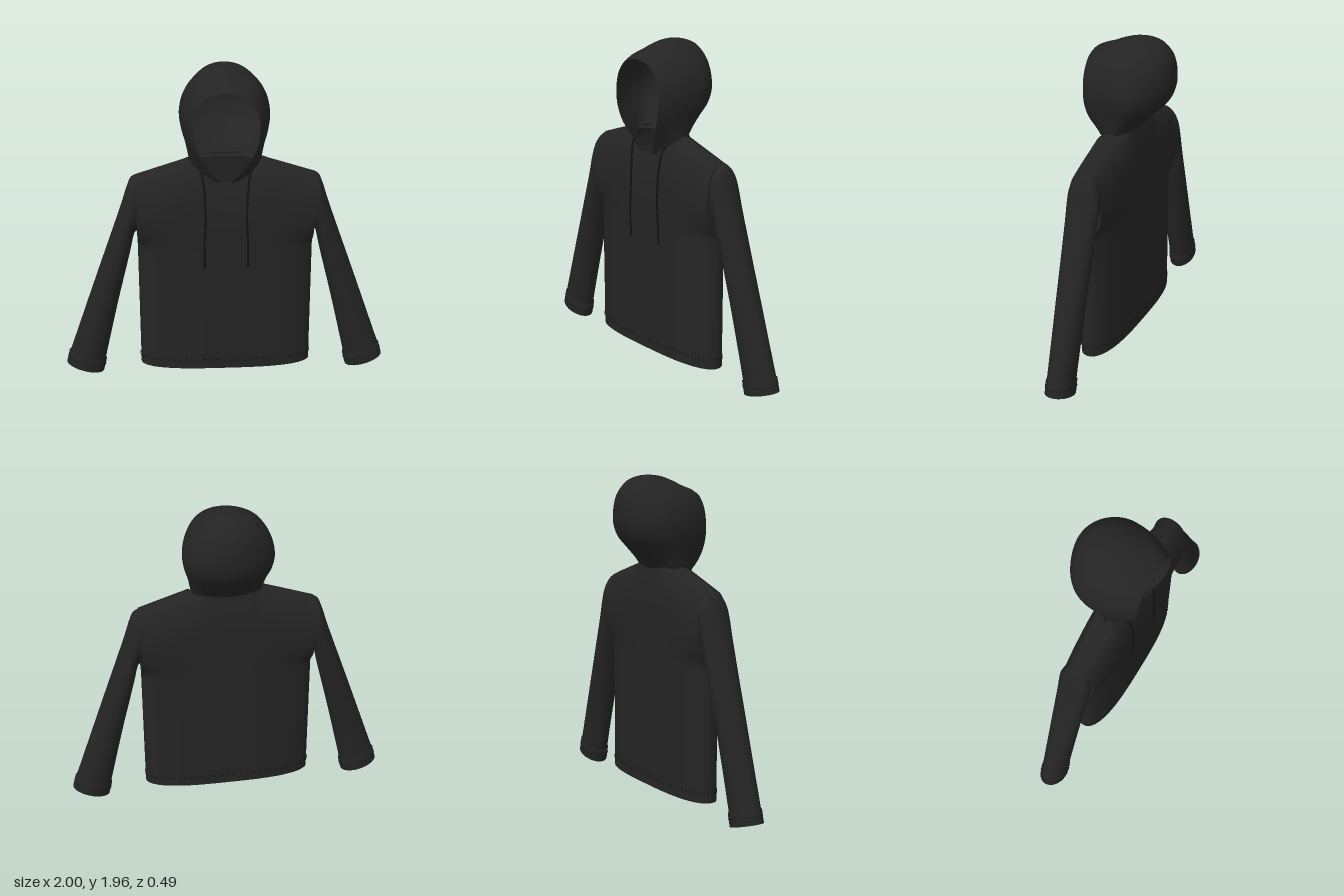
import * as THREE from 'three';
import { mergeGeometries } from 'three/addons/utils/BufferGeometryUtils.js';

const cloth = new THREE.MeshStandardMaterial({ color: 0x242424, side: THREE.DoubleSide });
const thread = new THREE.MeshStandardMaterial({ color: 0x111111 });
const { clamp, lerp, smoothstep } = THREE.MathUtils;
const TAU = Math.PI * 2;

// Smoothly resample a table of rows (Catmull-Rom on every column)
function smoothRows(rows, steps) {
  const out = [];
  const at = (i) => rows[clamp(i, 0, rows.length - 1)];
  for (let i = 0; i < rows.length - 1; i++) {
    for (let s = 0; s < steps; s++) {
      const t = s / steps;
      out.push(rows[i].map((b, k) => {
        const a = at(i - 1)[k], c = at(i + 1)[k], d = at(i + 2)[k];
        return b + 0.5 * t * (c - a + t * (2 * a - 5 * b + 4 * c - d + t * (3 * (b - c) + d - a)));
      }));
    }
  }
  out.push(rows[rows.length - 1]);
  return out;
}

// Skin a list of rings (arrays of points); closed rings wrap around
function loft(rings, closed) {
  const n = rings[0].length, index = [];
  const geo = new THREE.BufferGeometry().setFromPoints(rings.flat());
  for (let i = 0; i < rings.length - 1; i++) {
    for (let j = 0; j < (closed ? n : n - 1); j++) {
      const k = (j + 1) % n;
      const a = i * n + j, b = i * n + k, c = a + n, d = b + n;
      index.push(a, c, b, b, c, d);
    }
  }
  geo.setIndex(index);
  geo.computeVertexNormals();
  return geo;
}

function addMesh(parent, name, geo, mat = cloth) {
  const mesh = new THREE.Mesh(geo, mat);
  mesh.name = name;
  parent.add(mesh);
  return mesh;
}

// Dashes along every other segment of a ring
function stitches(points) {
  const dashes = [], dummy = new THREE.Object3D();
  for (let i = 0; i < points.length - 1; i += 2) {
    const a = points[i], b = points[i + 1];
    dummy.position.copy(a).lerp(b, 0.5);
    dummy.lookAt(b);
    dummy.updateMatrix();
    dashes.push(new THREE.BoxGeometry(0.003, 0.003, a.distanceTo(b)).applyMatrix4(dummy.matrix));
  }
  return mergeGeometries(dashes);
}

// Torso point: angle goes round the body, v runs from hem (0) to shoulder line (1)
const HEM = 0.065;
function torsoPoint(angle, v, swell = 1) {
  const c = Math.cos(angle), s = Math.sin(angle);
  const x = 0.53 * c, ax = Math.abs(x);
  let top = 1.43 - Math.max(0, ax - 0.22) * 0.32;
  if (ax < 0.22) top = s > 0 ? 1.3 + 0.13 * (ax / 0.22) ** 2 : 1.425;
  const y = lerp(HEM, top, v);
  const neck = 1 - smoothstep(ax, 0.13, 0.24);
  const u = clamp((y - top + 0.3) / 0.3, 0, 1);
  const round = lerp(Math.sqrt(Math.max(0, 1 - u ** 2.5)), 1 - 0.25 * u * u, neck);
  // sides close below the armpit and stay open where the sleeve joins
  const width = lerp(0.53, 0.8, smoothstep(y, 0.88, 1.08));
  const side = Math.max(0, 1 - (ax / width) ** 3) ** 0.45;
  const sign = Math.abs(s) < 1e-6 ? 0 : Math.sign(s);
  return new THREE.Vector3(x * swell, y, 0.06 + sign * 0.125 * side * round * swell);
}
const torsoRing = (n, v, swell) =>
  Array.from({ length: n }, (_, j) => torsoPoint(j / n * TAU, v, swell));

// Sleeve ring from [outer x, outer y, inner x, inner y, half depth]
function sleeveRing([ox, oy, ix, iy, d], side, n = 40, swell = 1) {
  return Array.from({ length: n }, (_, j) => {
    const a = j / n * TAU, c = Math.cos(a) * swell;
    return new THREE.Vector3(
      side * ((ox + ix) / 2 + (ox - ix) / 2 * c),
      (oy + iy) / 2 + (oy - iy) / 2 * c,
      0.052 + d * swell * Math.sin(a));
  });
}

// Hood ring from [y, half width, back z, rim z, opening half width, drop at front]
function hoodRing([y, w, back, rim, open, drop]) {
  const n = 64, mid = lerp(back, rim, 0.45);
  const gap = w > 0 ? Math.asin(clamp(open / w, 0, 0.95)) : 0;
  const front = (rim - mid) / Math.cos(gap);
  return Array.from({ length: n + 1 }, (_, j) => {
    const a = lerp(gap, TAU - gap, j / n), c = Math.cos(a);
    const fall = drop * (Math.max(0, c) / Math.cos(gap)) ** 1.5;
    return new THREE.Vector3(w * Math.sin(a), y - fall, mid + c * (c > 0 ? front : mid - back));
  });
}

export function createModel() {
  const model = new THREE.Group();
  model.name = 'hoodedSweater';

  // Torso with hem stitching
  const rings = Array.from({ length: 61 }, (_, i) => torsoRing(144, i / 60));
  addMesh(model, 'torso', loft(rings, true));
  [0.04, 0.05].forEach((v) => addMesh(model, 'hemStitching', stitches(torsoRing(160, v, 1.008)), thread));

  // Hood, open at the face and neck
  const hoodRows = smoothRows([
    [1.40, 0.210, -0.030, 0.160, 0.030, 0.10],
    [1.46, 0.222, -0.080, 0.190, 0.095, 0.08],
    [1.53, 0.237, -0.150, 0.225, 0.152, 0.05],
    [1.60, 0.258, -0.212, 0.238, 0.185, 0.02],
    [1.68, 0.268, -0.240, 0.240, 0.190, 0],
    [1.76, 0.255, -0.243, 0.240, 0.173, 0],
    [1.82, 0.230, -0.238, 0.240, 0.135, 0],
    [1.855, 0.207, -0.230, 0.240, 0.085, 0],
    [1.873, 0.192, -0.222, 0.236, 0, 0],
    [1.90, 0.163, -0.203, 0.165, 0, 0],
    [1.935, 0.115, -0.168, 0.090, 0, 0],
    [1.958, 0.060, -0.110, 0.020, 0, 0],
    [1.966, 0, -0.050, -0.050, 0, 0],
  ], 5).map((r) => [r[0], Math.max(0, r[1]), r[2], r[3], Math.max(0, r[4]), Math.max(0, r[5])]);
  addMesh(model, 'hood', loft(hoodRows.map(hoodRing), false));

  // Sleeves, cuffs and drawstrings, mirrored
  const sleeveRows = smoothRows([
    [0.47, 1.335, 0.48, 0.97, 0.085],
    [0.55, 1.315, 0.535, 0.965, 0.10],
    [0.585, 1.25, 0.555, 0.93, 0.10],
    [0.635, 1.10, 0.58, 0.82, 0.097],
    [0.80, 0.64, 0.665, 0.48, 0.088],
    [0.972, 0.155, 0.757, 0.085, 0.078],
  ], 6);
  const cuffRows = [
    [0.972, 0.155, 0.757, 0.085, 0.078],
    [0.980, 0.152, 0.750, 0.080, 0.083],
    [0.988, 0.118, 0.758, 0.046, 0.083],
    [1.0, 0.074, 0.77, 0.002, 0.083],
  ];
  for (const side of [1, -1]) {
    const label = side > 0 ? 'left' : 'right';
    addMesh(model, label + 'Sleeve', loft(sleeveRows.map((r) => sleeveRing(r, side)), true));
    addMesh(model, label + 'Cuff', loft(cuffRows.map((r) => sleeveRing(r, side)), true));
    addMesh(model, label + 'CuffStitching', stitches(sleeveRing(cuffRows[2], side, 60, 1.01)), thread);

    const path = new THREE.CatmullRomCurve3([
      [0.150, 1.375, 0.135], [0.138, 1.33, 0.163], [0.126, 1.22, 0.182],
      [0.124, 1.05, 0.192], [0.130, 0.90, 0.193], [0.130, 0.77, 0.187],
    ].map(([x, y, z]) => new THREE.Vector3(side * x, y, z)));
    addMesh(model, label + 'Drawstring', new THREE.TubeGeometry(path, 40, 0.0055, 8), thread);
    const tip = addMesh(model, label + 'DrawstringTip', new THREE.CylinderGeometry(0.0065, 0.0065, 0.03, 8), thread);
    tip.position.set(side * 0.13, 0.78, 0.188);
  }
  return model;
}
